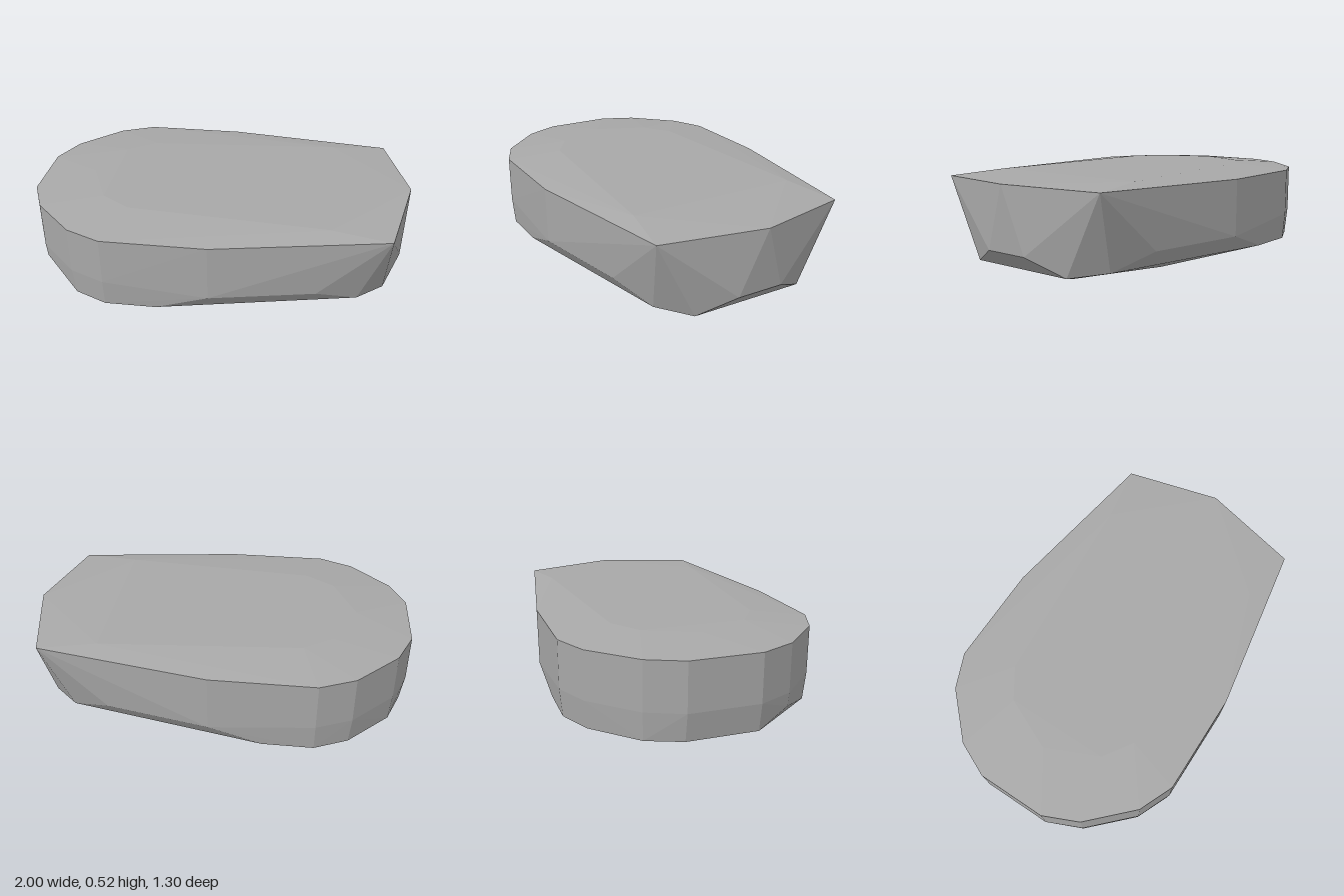
import * as THREE from 'three';
import { ConvexGeometry } from 'three/addons/geometries/ConvexGeometry.js';

// A faceted, flat-topped stone: the hull of a few rings of corners.
export function createModel() {
  const group = new THREE.Group();
  group.name = 'facetedStone';
  const grey = new THREE.MeshStandardMaterial({ color: 0xa8a8a8 });
  grey.name = 'stone grey';

  const points = [];
  const add = (x, y, z) => points.push(new THREE.Vector3(x, y, z));
  const pair = (x, y, z) => { add(x, y, z); add(x, y, -z); };

  // Slightly raised top
  add(-0.72, 0.523, 0);
  [[-0.6, 0.27], [-0.45, 0.37], [0.58, 0.45]].forEach(([x, z]) => pair(x, 0.524, z));

  // Upright wall around the rounded end: rim and lower ring
  const wall = [[-1, 0.18], [-0.92, 0.36], [-0.71, 0.57], [-0.53, 0.648]];
  wall.forEach(([x, z]) => { pair(x, 0.495, z); pair(x, 0.25, z); });
  pair(0, 0.495, 0.648);
  pair(0, 0.2, 0.646);

  // Pointed end
  pair(0.88, 0.51, 0.505);
  add(1, 0.52, -0.01);
  pair(0.53, 0.2, 0.54);
  pair(0.74, 0.12, 0.44);
  pair(0.88, 0.1, 0.3);
  pair(0.97, 0.19, 0.12);

  // Lower edge, chipped at one front corner
  [[-0.98, 0.18], [-0.7, 0.56], [-0.53, 0.635], [-0.27, 0.635]].forEach(([x, z]) => pair(x, 0.108, z));
  add(-0.91, 0.108, -0.355);
  add(-0.915, 0.18, 0.357);

  // Underside
  [[-0.58, 0.12], [-0.45, 0.25], [0.1, 0.25], [0.3, 0.14]].forEach(([x, z]) => pair(x, 0, z));
  pair(0.74, 0.06, 0.22);

  const stone = new THREE.Mesh(new ConvexGeometry(points), grey);
  stone.name = 'stone';
  group.add(stone);
  return group;
}
